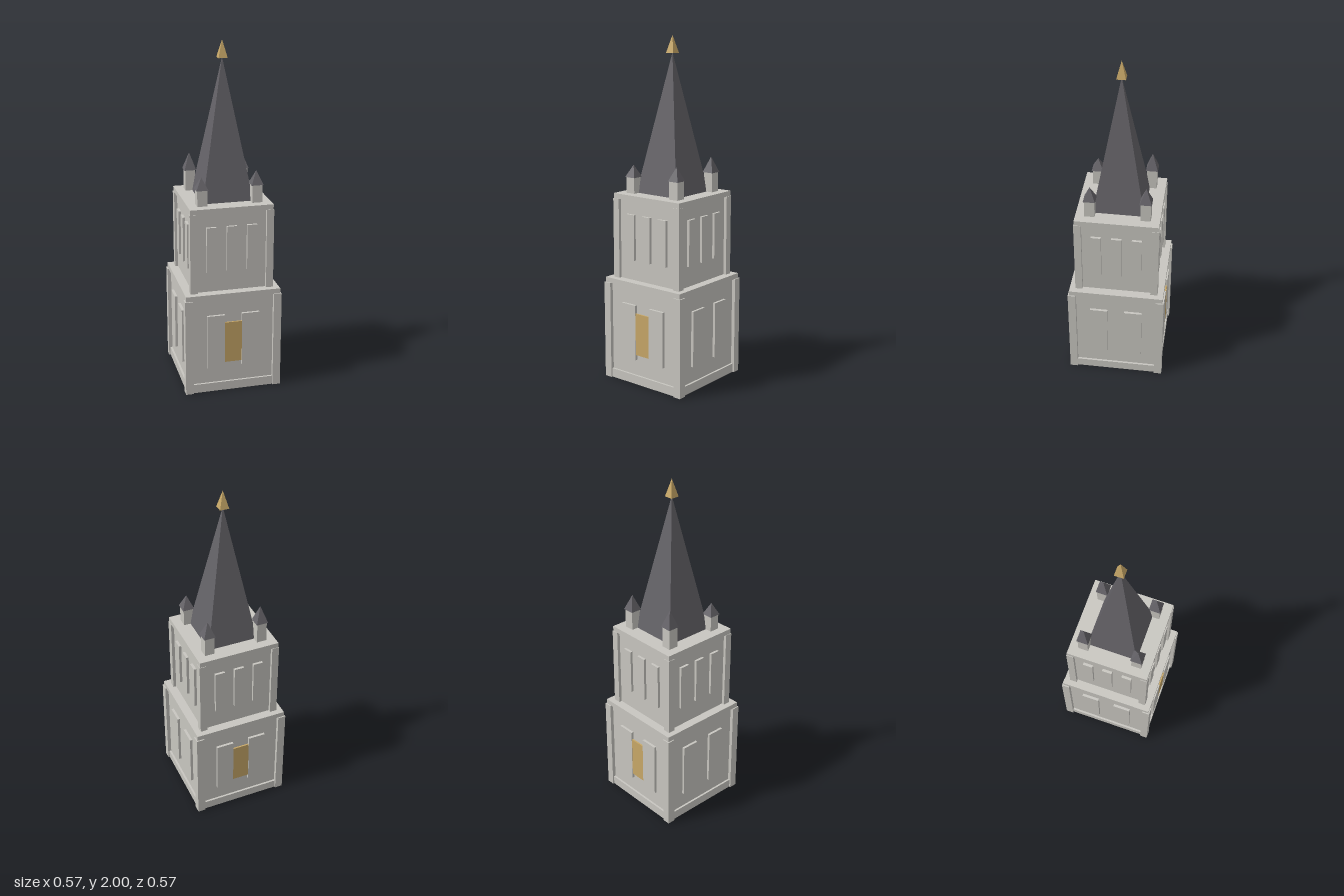
import * as THREE from 'three';

export function createModel() {
  const stone = new THREE.MeshStandardMaterial({ color: 0xc8c6c0 });
  const slate = new THREE.MeshStandardMaterial({ color: 0x656368 });
  const gold = new THREE.MeshStandardMaterial({ color: 0xc8a868 });
  stone.name = 'stone';
  slate.name = 'slate';
  gold.name = 'gold';

  const tower = new THREE.Group();
  tower.name = 'tower';

  // Box from its half widths in x and z and its bottom and top heights
  function block(name, parent, material, x, z, hx, hz, y0, y1) {
    const mesh = new THREE.Mesh(new THREE.BoxGeometry(hx * 2, y1 - y0, hz * 2), material);
    mesh.name = name;
    mesh.position.set(x, (y0 + y1) / 2, z);
    parent.add(mesh);
    return mesh;
  }

  // Square pyramid with its sides along x and z
  function pyramid(name, parent, x, z, half, y0, y1, material) {
    const geometry = new THREE.ConeGeometry(half * Math.SQRT2, y1 - y0, 4).rotateY(Math.PI / 4).toNonIndexed();
    geometry.computeVertexNormals();
    const mesh = new THREE.Mesh(geometry, material);
    mesh.name = name;
    mesh.position.set(x, (y0 + y1) / 2, z);
    parent.add(mesh);
  }

  // One storey: wall, cornice, corner pilasters and raised panels on all sides
  function storey(name, s) {
    const group = new THREE.Group();
    group.name = name;
    tower.add(group);
    block('wall', group, stone, 0, 0, s.wall, s.wall, s.y0, s.y1 - 0.01);
    block('cornice', group, stone, 0, 0, s.cornice, s.cornice, s.y1 - 0.03, s.y1);
    const mid = (s.inner + s.outer) / 2, half = (s.outer - s.inner) / 2;
    for (const sx of [-1, 1]) {
      for (const sz of [-1, 1]) {
        block('pilaster', group, stone, sx * mid, sz * mid, half, half, s.y0, s.y1 - 0.03);
      }
    }
    for (let i = 0; i < 4; i++) {
      const side = new THREE.Group();
      side.name = 'sidePanels';
      side.rotation.y = i * Math.PI / 2;
      for (const x of s.panels) {
        block('panel', side, stone, x, s.wall + 0.005, s.panelHalf, 0.01, s.panelY[0], s.panelY[1]);
      }
      // Golden door panel on the front and back only
      if (s.door && i % 2 === 0) {
        block('doorPanel', side, gold, 0, s.wall + 0.008, 0.05, 0.0045, 0.18, 0.43);
      }
      group.add(side);
    }
    return group;
  }

  const lower = storey('lowerStorey', {
    wall: 0.262, cornice: 0.276, inner: 0.237, outer: 0.283, y0: 0, y1: 0.61,
    panels: [-0.102, 0.102], panelHalf: 0.052, panelY: [0.148, 0.478], door: true,
  });
  block('plinth', lower, stone, 0, 0, 0.274, 0.274, 0, 0.053);

  storey('upperStorey', {
    wall: 0.224, cornice: 0.239, inner: 0.2, outer: 0.242, y0: 0.61, y1: 1.108,
    panels: [-0.117, 0, 0.117], panelHalf: 0.029, panelY: [0.73, 0.997],
  });

  // Spire and finial
  pyramid('spire', tower, 0, 0, 0.147, 1.108, 1.905, slate);
  pyramid('finial', tower, 0, 0, 0.026, 1.9, 2, gold);

  // Corner pinnacles, each a little taller than the last
  [[-1, 1], [1, 1], [1, -1], [-1, -1]].forEach(([sx, sz], i) => {
    const pinnacle = new THREE.Group();
    pinnacle.name = 'pinnacle';
    tower.add(pinnacle);
    const x = sx * 0.158, z = sz * 0.158, eaves = 1.2 + i * 0.01;
    block('pinnacleShaft', pinnacle, stone, x, z, 0.029, 0.029, 1.105, eaves);
    pyramid('pinnacleRoof', pinnacle, x, z, 0.0345, eaves, 1.27 + i * 0.02, slate);
  });

  return tower;
}
